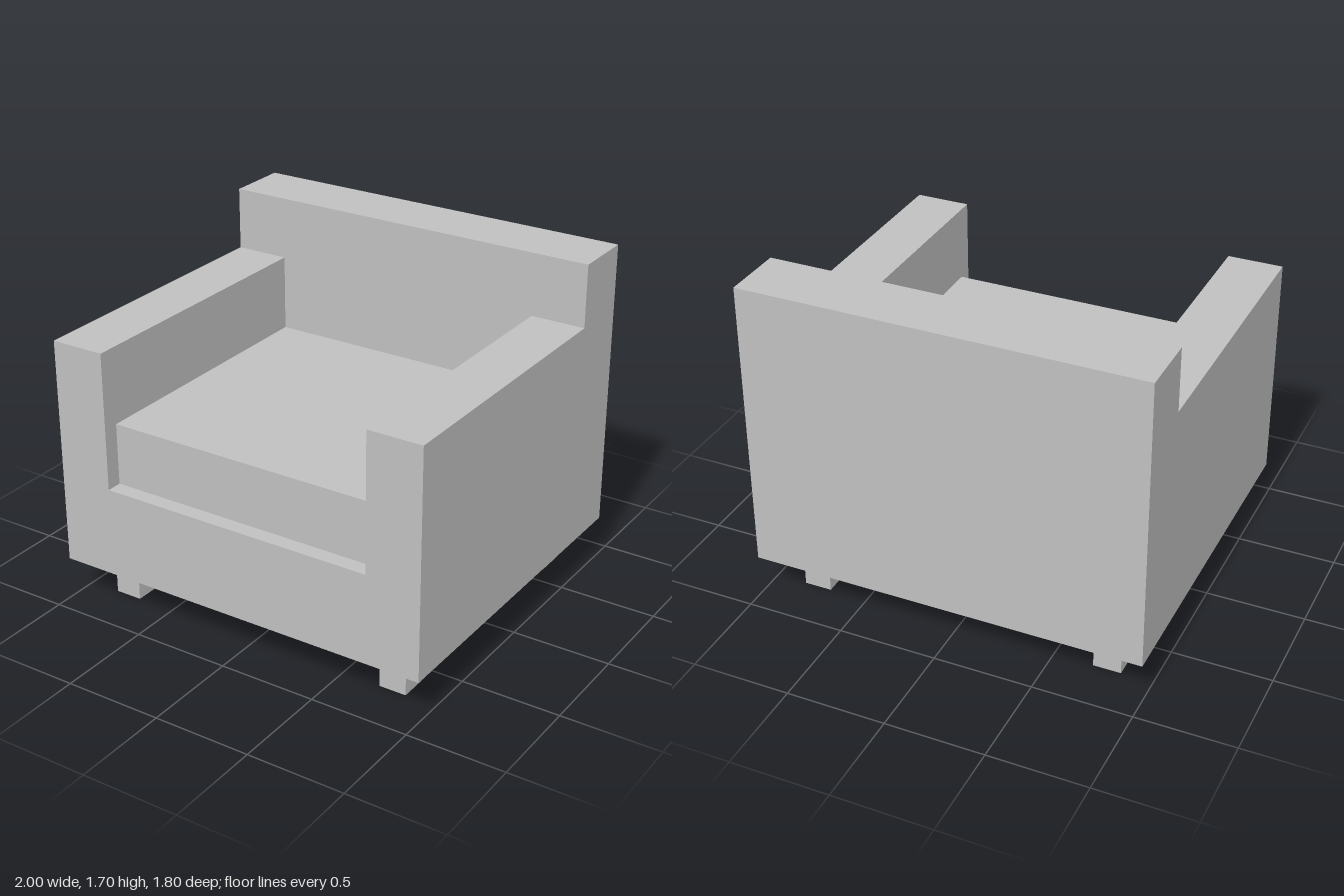
import * as THREE from 'three';

export function createModel() {
  const group = new THREE.Group();
  group.name = 'armchair';
  const grey = new THREE.MeshStandardMaterial({ color: 0xbfbfbf });
  grey.name = 'light grey';

  const add = (name, geometry) => {
    const mesh = new THREE.Mesh(geometry, grey);
    mesh.name = name;
    group.add(mesh);
  };
  // Box given by its limits on each axis
  const box = (name, [x0, x1], [y0, y1], [z0, z1]) =>
    add(name, new THREE.BoxGeometry(x1 - x0, y1 - y0, z1 - z0)
      .translate((x0 + x1) / 2, (y0 + y1) / 2, (z0 + z1) / 2));

  const bottom = 0.215, seat = 0.675, armTop = 1.38, inner = 0.72;
  const front = 0.9, backFront = -0.58;

  // Base and both arms as one U-shaped block
  const profile = new THREE.Shape([
    [-1, bottom], [1, bottom], [1, armTop], [inner, armTop],
    [inner, seat], [-inner, seat], [-inner, armTop], [-1, armTop],
  ].map(([x, y]) => new THREE.Vector2(x, y)));
  add('baseAndArms', new THREE.ExtrudeGeometry(profile, { depth: front - backFront, bevelEnabled: false })
    .translate(0, 0, backFront));

  // Full-height backrest
  box('backrest', [-1, 1], [bottom, 1.7], [-0.9, backFront]);

  // Seat cushion, set back from the front edge
  box('seatCushion', [-inner, inner], [seat, 0.99], [backFront, 0.82]);

  // Four square legs
  for (const [xName, sx] of [['Left', 1], ['Right', -1]]) {
    for (const [zName, sz] of [['front', 1], ['back', -1]]) {
      const x = 0.77 * sx, z = 0.67 * sz, h = 0.07;
      box(`${zName}${xName}Leg`, [x - h, x + h], [0, bottom], [z - h, z + h]);
    }
  }
  return group;
}
